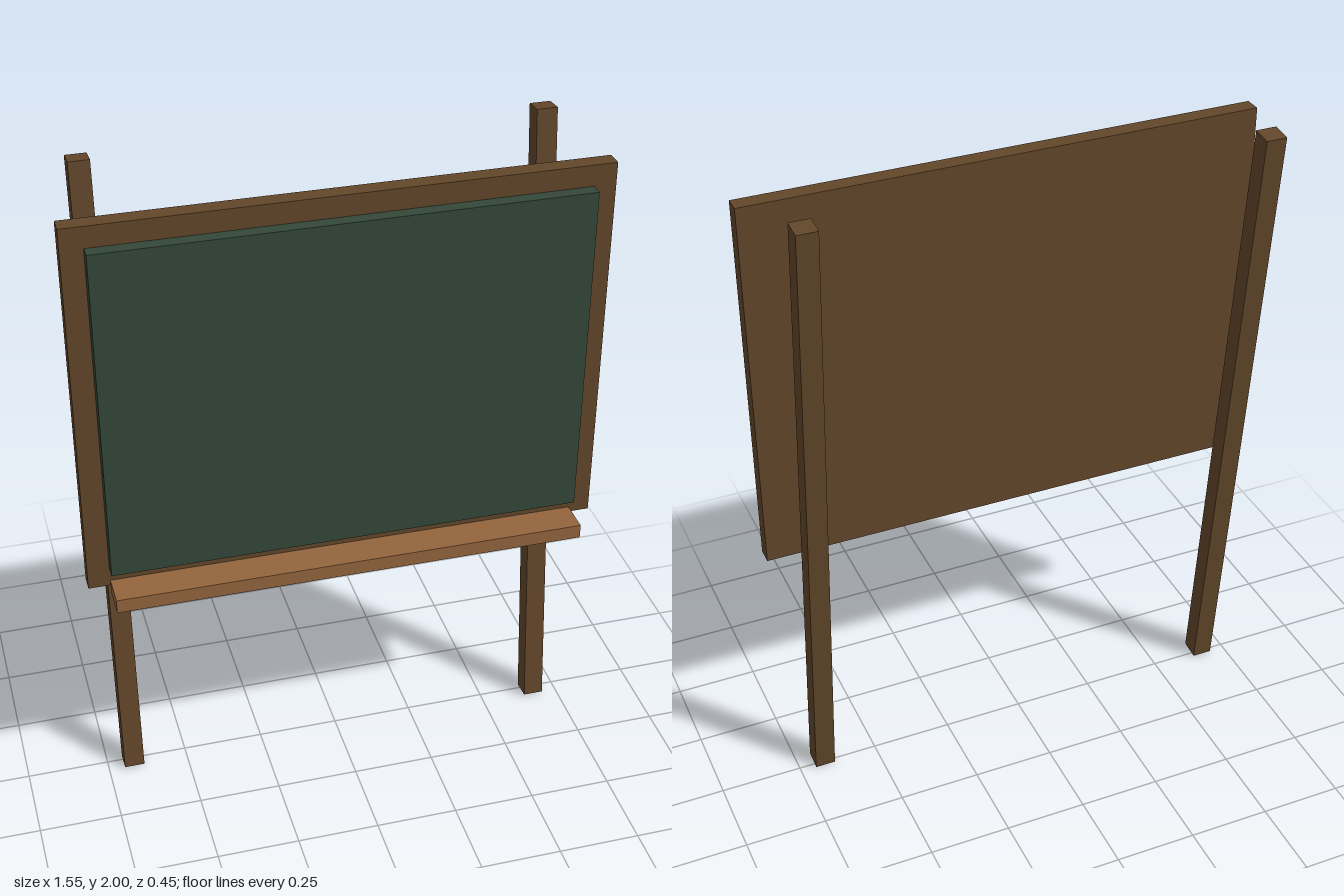
import * as THREE from 'three';

const material = (name, color) => {
  const m = new THREE.MeshStandardMaterial({ color });
  m.name = name;
  return m;
};

// Box given by its [min, max] extent on each axis
function box(name, [x0, x1], [y0, y1], [z0, z1], mat) {
  const mesh = new THREE.Mesh(new THREE.BoxGeometry(x1 - x0, y1 - y0, z1 - z0), mat);
  mesh.position.set((x0 + x1) / 2, (y0 + y1) / 2, (z0 + z1) / 2);
  mesh.name = name;
  return mesh;
}

export function createModel() {
  const darkWood = material('dark wood', 0x62462a);
  const lightWood = material('light wood', 0x93643d);
  const slate = material('green slate', 0x334739);

  const model = new THREE.Group();
  model.name = 'chalkboard';

  // Backing frame, writing surface and chalk ledge
  model.add(
    box('frame', [-0.775, 0.775], [0.785, 1.945], [0.068, 0.119], darkWood),
    box('writingSurface', [-0.71, 0.71], [0.846, 1.881], [0.119, 0.159], slate),
    box('chalkLedge', [-0.71, 0.71], [0.76, 0.804], [0.121, 0.223], lightWood)
  );

  // Two posts leaning backwards
  const legGeometry = new THREE.BoxGeometry(0.062, 2.004, 0.062);
  for (const [side, name] of [[1, 'leftLeg'], [-1, 'rightLeg']]) {
    const leg = new THREE.Mesh(legGeometry, darkWood);
    leg.name = name;
    leg.position.set(side * 0.67, 1, -0.089);
    leg.rotation.x = -0.1035;
    model.add(leg);
  }

  return model;
}
